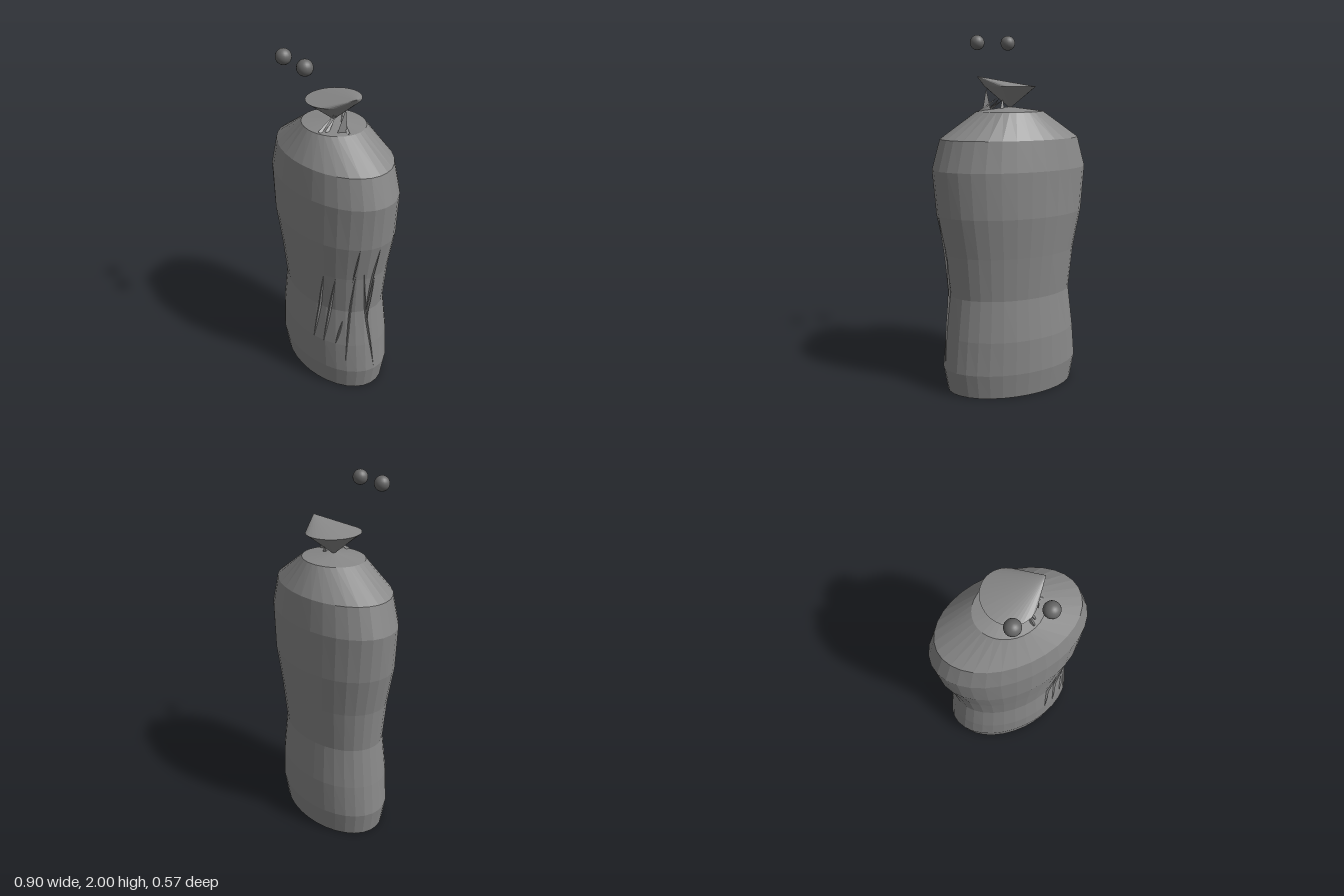
import * as THREE from 'three';

const SIDES = 32;
const material = new THREE.MeshStandardMaterial({ color: 0x888888, flatShading: true, side: THREE.DoubleSide });
const eyeMaterial = new THREE.MeshStandardMaterial({ color: 0x666666 });

// Body rings: height, half width, half depth
const RINGS = [
  [0, 0.38, 0.24], [0.14, 0.405, 0.26], [0.33, 0.388, 0.26], [0.56, 0.36, 0.238],
  [0.8, 0.385, 0.26], [1.02, 0.43, 0.284], [1.27, 0.452, 0.285], [1.435, 0.405, 0.262],
  [1.58, 0.19, 0.165],
];

// Elliptical loft: a lathe whose depth is rescaled ring by ring
function loft(rings) {
  const geo = new THREE.LatheGeometry(rings.map(([y, rx]) => new THREE.Vector2(rx, y)), SIDES);
  const pos = geo.attributes.position;
  for (let i = 0; i < pos.count; i++) {
    const [, rx, rz] = rings[i % rings.length];
    if (rx > 0) pos.setZ(i, pos.getZ(i) * rz / rx);
  }
  geo.computeVertexNormals();
  return geo;
}

// Point on the body wall at an angle (0 = +x, 90 = +z), lifted outward
function onBody(deg, y, lift) {
  let k = 0;
  while (k < RINGS.length - 2 && RINGS[k + 1][0] < y) k++;
  const a = RINGS[k], b = RINGS[k + 1], t = (y - a[0]) / (b[0] - a[0]);
  const r = THREE.MathUtils.degToRad(deg);
  return new THREE.Vector3(
    (THREE.MathUtils.lerp(a[1], b[1], t) + lift) * Math.cos(r), y,
    (THREE.MathUtils.lerp(a[2], b[2], t) + lift) * Math.sin(r));
}

// Thin tapered fold running along the wall from one point to another
function fold([deg0, y0], [deg1, y1], width) {
  const steps = 8, verts = [], index = [];
  for (let i = 0; i <= steps; i++) {
    const t = i / steps, s = Math.sin(Math.PI * t);
    const deg = THREE.MathUtils.lerp(deg0, deg1, t), y = THREE.MathUtils.lerp(y0, y1, t);
    for (const [side, lift] of [[-1, 0], [0, 0.01 * s], [1, 0]]) {
      verts.push(...onBody(deg + side * width * s, y, lift));
    }
    if (i < steps) {
      for (const j of [0, 1]) {
        const a = i * 3 + j;
        index.push(a, a + 1, a + 3, a + 1, a + 4, a + 3);
      }
    }
  }
  const geo = new THREE.BufferGeometry();
  geo.setAttribute('position', new THREE.Float32BufferAttribute(verts, 3));
  geo.setIndex(index);
  geo.computeVertexNormals();
  return geo;
}

// Three-sided spike between a base and a tip
function spike(base, tip, radius) {
  const a = new THREE.Vector3(...base), d = new THREE.Vector3(...tip).sub(a);
  const geo = new THREE.ConeGeometry(radius, d.length(), 3);
  geo.translate(0, d.length() / 2, 0);
  geo.applyQuaternion(new THREE.Quaternion().setFromUnitVectors(new THREE.Vector3(0, 1, 0), d.normalize()));
  return geo.translate(a.x, a.y, a.z);
}

export function createModel() {
  const model = new THREE.Group();
  const add = (name, geo, mat = material) => {
    const mesh = new THREE.Mesh(geo, mat);
    mesh.name = name;
    model.add(mesh);
    return mesh;
  };

  // Body, closed by a flat base and a shallow cap
  add('body', loft([[0, 0, 0], ...RINGS, [1.605, 0, 0]]));

  // Flared top: a cone below, its cover drawn to a point on the left
  const flare = loft([[1.595, 0, 0], [1.715, 0.14, 0.155], [1.77, 0, 0]]);
  const pos = flare.attributes.position;
  for (let i = 2; i < pos.count; i += 3) pos.setX(i, 0.197);
  flare.computeVertexNormals();
  add('flaredTop', flare);

  // Spikes between cap and flare
  [
    [[0.13, 1.58, 0.04], [0.135, 1.705, 0.02], 0.03],
    [[0.07, 1.58, 0.14], [0.05, 1.65, 0.03], 0.012],
    [[0.09, 1.58, 0.11], [0.04, 1.64, 0.01], 0.012],
    [[0.17, 1.58, 0.03], [0.07, 1.66, 0], 0.01],
    [[0.06, 1.58, -0.02], [0.05, 1.66, -0.01], 0.016],
  ].forEach(([base, tip, r]) => add('neckSpike', spike(base, tip, r)));

  // Folds on the left front of the body
  [
    [[57, 0.8], [69, 0.32], 1.6],
    [[45, 0.79], [58, 0.32], 1.6],
    [[37, 0.5], [45, 0.33], 1.2],
    [[23, 1.02], [27, 0.78], 0.8],
    [[24, 0.84], [35, 0.2], 1.2],
    [[0, 1.02], [9, 0.5], 1.2],
    [[15, 0.84], [0, 0.16], 1.5],
    [[0, 0.8], [8, 0.45], 1.2],
  ].forEach(([from, to, w]) => add('bodyFold', fold(from, to, w)));

  // Floating eyes
  for (const side of [-1, 1]) {
    add(side > 0 ? 'leftEye' : 'rightEye', new THREE.SphereGeometry(0.042, 20, 14), eyeMaterial)
      .position.set(side * 0.096, 1.958, 0.237);
  }
  return model;
}
